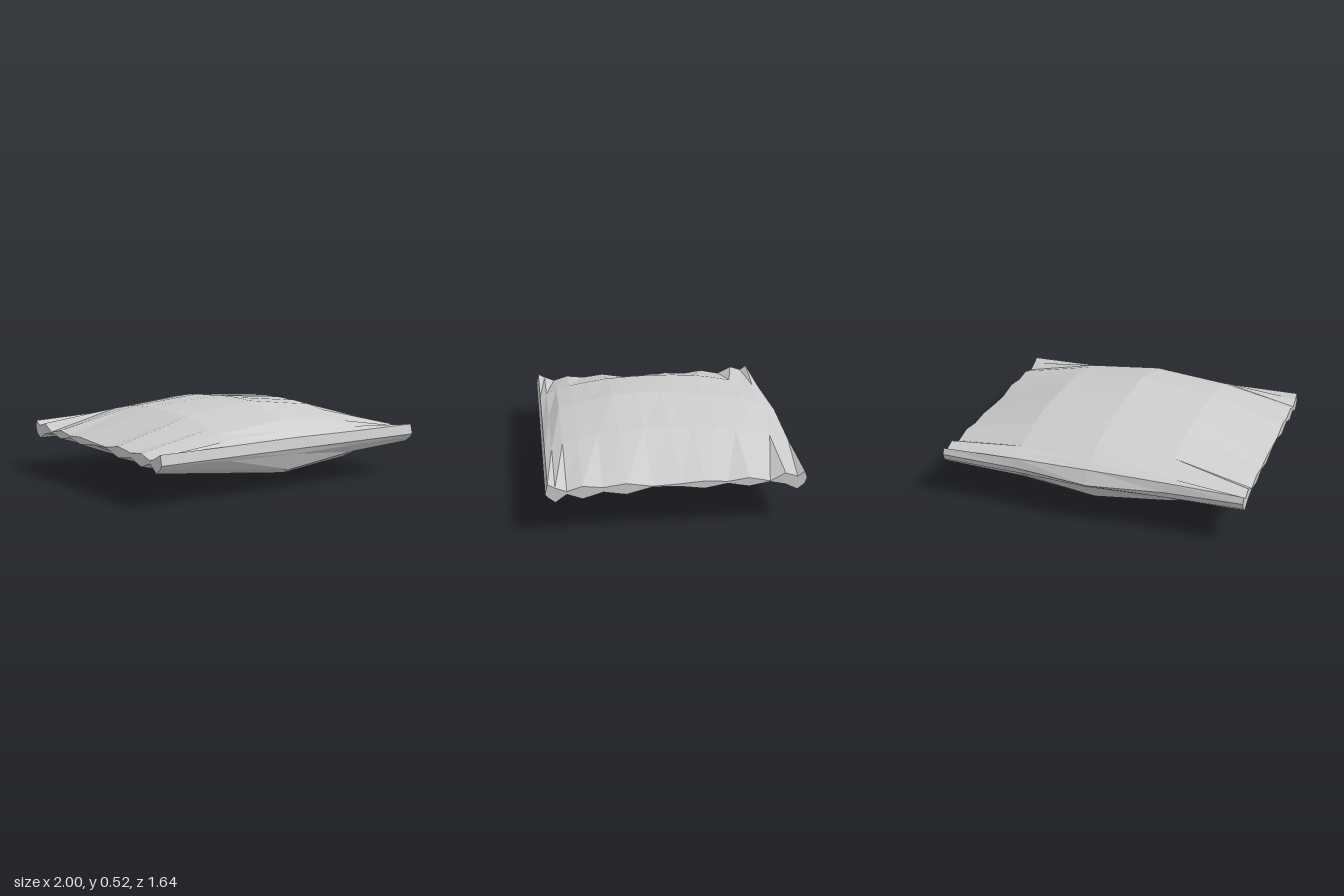
import * as THREE from 'three';

// Stations from the front edge to the back edge
const Z = [0.82, 0.805, 0.76, 0.69, 0.595, 0.47, 0.33, 0.17, 0, -0.145, -0.29, -0.42, -0.55, -0.645, -0.72, -0.78, -0.82];

// Upper and lower heights of the cushion at the middle, the quarter lines and the pinched ends
const middle = {
  x: 0,
  top: [0.27, 0.34, 0.38, 0.44, 0.465, 0.49, 0.52, 0.525, 0.52, 0.507, 0.497, 0.48, 0.457, 0.42, 0.39, 0.36, 0.27],
  low: [0.27, 0.235, 0.13, 0.097, 0.088, 0.06, 0.035, 0.025, 0, 0.01, 0.02, 0.04, 0.075, 0.10, 0.20, 0.24, 0.27],
};
const quarter = {
  x: 0.5,
  top: [0.27, 0.335, 0.36, 0.39, 0.415, 0.437, 0.457, 0.467, 0.47, 0.466, 0.457, 0.437, 0.41, 0.38, 0.365, 0.35, 0.29],
  low: [0.27, 0.245, 0.19, 0.15, 0.13, 0.11, 0.09, 0.077, 0.07, 0.075, 0.085, 0.10, 0.13, 0.16, 0.22, 0.25, 0.29],
};
const end = {
  x: 1,
  top: [0.27, 0.335, 0.31, 0.283, 0.312, 0.298, 0.316, 0.29, 0.298, 0.308, 0.298, 0.316, 0.288, 0.335, 0.31, 0.34, 0.30],
  low: [0.27, 0.25, 0.215, 0.265, 0.23, 0.268, 0.245, 0.286, 0.28, 0.26, 0.285, 0.26, 0.283, 0.262, 0.225, 0.26, 0.30],
};

const mirror = (s) => ({ ...s, x: -s.x });

// Closed ring of points: front to back over the top, then back to front underneath
function ring({ x, top, low }) {
  const place = (y, i) => {
    // the back edge bulges only at the middle
    const z = x !== 0 && i > 14 ? (i === 15 ? -0.765 : -0.78) : Z[i];
    return [x, y, z];
  };
  const upper = top.map(place);
  const lower = low.map(place).slice(1, -1).reverse();
  return [...upper, ...lower];
}

function shell(rings) {
  const n = rings[0].length;
  const index = [];
  for (let r = 0; r < rings.length - 1; r++) {
    for (let i = 0; i < n; i++) {
      const a = r * n + i, b = r * n + (i + 1) % n;
      index.push(a, a + n, b, b, a + n, b + n);
    }
  }
  // Thin end seams, closed between the upper and lower edges
  const last = (rings.length - 1) * n;
  for (let i = 0; i < Z.length - 1; i++) {
    const u0 = i, u1 = i + 1, l0 = (n - i) % n, l1 = n - i - 1;
    index.push(u0, u1, l0, u1, l1, l0);
    index.push(last + u0, last + l0, last + u1, last + u1, last + l0, last + l1);
  }
  const geometry = new THREE.BufferGeometry();
  geometry.setAttribute('position', new THREE.Float32BufferAttribute(rings.flat(2), 3));
  geometry.setIndex(index);
  const faceted = geometry.toNonIndexed();
  faceted.computeVertexNormals();
  return faceted;
}

export function createModel() {
  const group = new THREE.Group();
  group.name = 'pillow';
  const material = new THREE.MeshStandardMaterial({ color: 0xcccccc, flatShading: true, side: THREE.DoubleSide });
  const sections = [mirror(end), mirror(quarter), middle, quarter, end];
  const cushion = new THREE.Mesh(shell(sections.map(ring)), material);
  cushion.name = 'cushion';
  group.add(cushion);
  return group;
}
